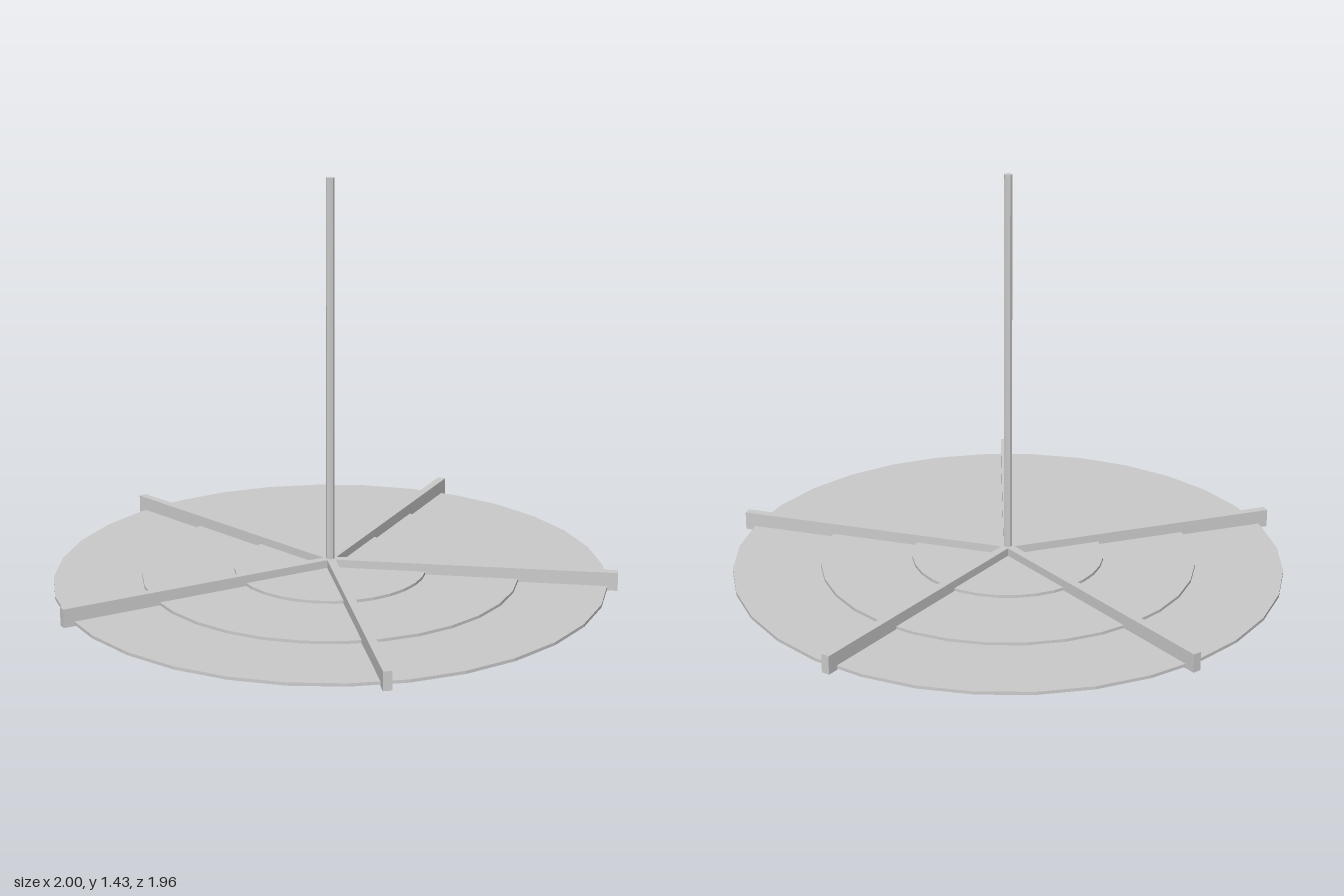
import * as THREE from 'three';

export function createModel() {
  const model = new THREE.Group();
  const material = new THREE.MeshStandardMaterial({ color: 0xcccccc, flatShading: true });

  function add(name, geometry, y) {
    const mesh = new THREE.Mesh(geometry, material);
    mesh.name = name;
    mesh.position.y = y;
    model.add(mesh);
    return mesh;
  }

  // Three thin stacked discs, narrowing upward
  const discs = [['lowerDisc', 0.982], ['middleDisc', 0.67], ['upperDisc', 0.342]];
  discs.forEach(([name, radius], i) => {
    add(name, new THREE.CylinderGeometry(radius, radius, 0.011, 32), 0.0105 + i * 0.0105);
  });

  // Five radial dividers reaching just past the rim
  const length = 1.017, height = 0.066;
  for (let i = 0; i < 5; i++) {
    const geometry = new THREE.BoxGeometry(length, height, 0.03).translate(length / 2, 0, 0);
    add('divider' + (i + 1), geometry, height / 2).rotation.y = (i * Math.PI * 2) / 5;
  }

  // Central pole
  const poleBottom = 0.03, poleTop = 1.435;
  add('pole', new THREE.CylinderGeometry(0.015, 0.015, poleTop - poleBottom, 8), (poleBottom + poleTop) / 2);

  // The hub sits slightly off centre so the overall width is centred
  model.position.x = -0.0175;
  return model;
}
